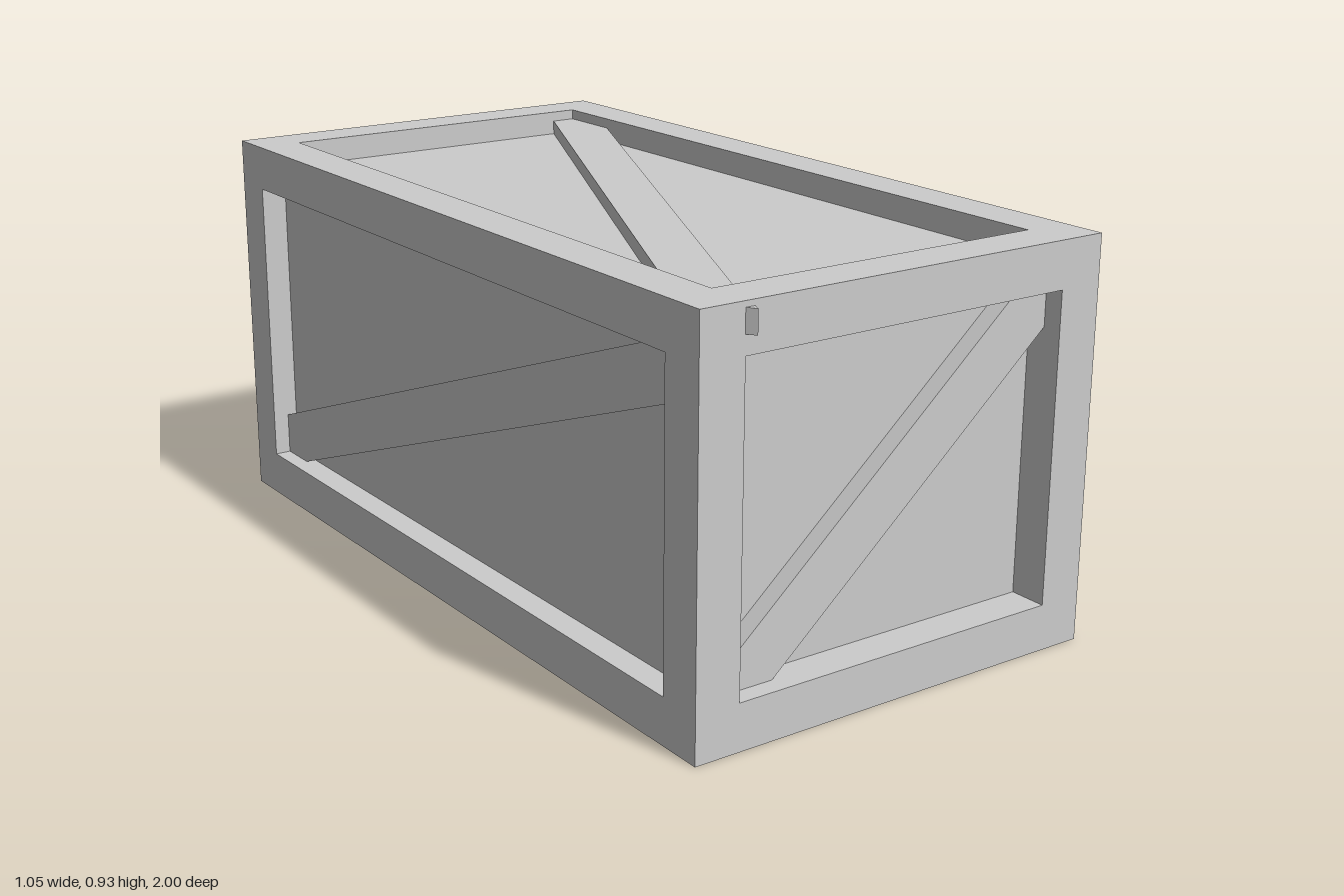
import * as THREE from 'three';

const material = new THREE.MeshStandardMaterial({ color: 0xcccccc, flatShading: true, side: THREE.DoubleSide });

// Outer half width, height, half length, and timber thickness
const W = 0.525, H = 0.928, L = 0.983, T = 0.108;

function add(group, name, geometry, x = 0, y = 0, z = 0) {
  const mesh = new THREE.Mesh(geometry, material);
  mesh.name = name;
  mesh.position.set(x, y, z);
  group.add(mesh);
  return mesh;
}

// Flat outline given as [u, v] pairs, extruded to a thickness
function plate(points, depth) {
  const shape = new THREE.Shape(points.map(([u, v]) => new THREE.Vector2(u, v)));
  return new THREE.ExtrudeGeometry(shape, { depth, bevelEnabled: false });
}

export function createModel() {
  const model = new THREE.Group();
  const crate = new THREE.Group();
  crate.name = 'crate';
  crate.position.z = -0.005;
  model.add(crate);

  // Recessed panels, as one inner box
  const panelX = W - 0.063, panelZ = L - 0.09, panelTop = H - 0.06, panelBottom = 0.046;
  add(crate, 'panels', new THREE.BoxGeometry(panelX * 2, panelTop - panelBottom, panelZ * 2),
    0, (panelTop + panelBottom) / 2, 0);

  // Frame timbers: corner posts, end rails and long rails
  for (const a of [-1, 1]) {
    for (const b of [-1, 1]) {
      const railY = b < 0 ? T / 2 : H - T / 2;
      add(crate, 'cornerPost', new THREE.BoxGeometry(T, H, T), a * (W - T / 2), H / 2, b * (L - T / 2));
      add(crate, 'endRail', new THREE.BoxGeometry((W - T) * 2, T, T), 0, railY, a * (L - T / 2));
      add(crate, 'longRail', new THREE.BoxGeometry(T, T, (L - T) * 2), a * (W - T / 2), railY, 0);
    }
  }

  // Diagonal braces, trimmed to the openings
  const ix = W - T, iz = L - T, lo = T, hi = H - T;
  const endBrace = [[-ix, 0.17], [0.33, hi], [ix, hi], [ix, 0.73], [-0.30, lo], [-ix, lo]];
  const sideBrace = [[-iz, 0.715], [-iz, 0.795], [-0.835, hi], [-0.795, hi], [iz, 0.21], [iz, lo], [0.775, lo]];
  const topBrace = [[-ix, -0.735], [0.355, iz], [ix, iz], [ix, 0.705], [-0.345, -iz], [-ix, -iz]];
  const endDepth = 0.045, sideDepth = 0.024, topDepth = 0.035;

  add(crate, 'frontBrace', plate(endBrace, endDepth), 0, 0, panelZ);
  add(crate, 'backBrace', plate(endBrace, endDepth), 0, 0, -panelZ - endDepth);
  add(crate, 'leftBrace', plate(sideBrace, sideDepth), panelX, 0, 0).rotation.y = Math.PI / 2;
  add(crate, 'rightBrace', plate(sideBrace, sideDepth), -panelX - sideDepth, 0, 0).rotation.y = Math.PI / 2;
  add(crate, 'topBrace', plate(topBrace, topDepth), 0, panelTop, 0).rotation.x = -Math.PI / 2;

  // Small wedge-shaped catch on each end, turned half round for the back
  for (const [name, angle, out] of [['frontCatch', 0, 0.021], ['backCatch', Math.PI, 0.012]]) {
    const pivot = new THREE.Group();
    pivot.name = name;
    pivot.rotation.y = angle;
    crate.add(pivot);
    const wedge = plate([[-0.42, -L + 0.002], [-0.405, -L - out], [-0.396, -L + 0.002]], 0.052);
    add(pivot, name, wedge, 0, 0.863, 0).rotation.x = -Math.PI / 2;
  }

  return model;
}
